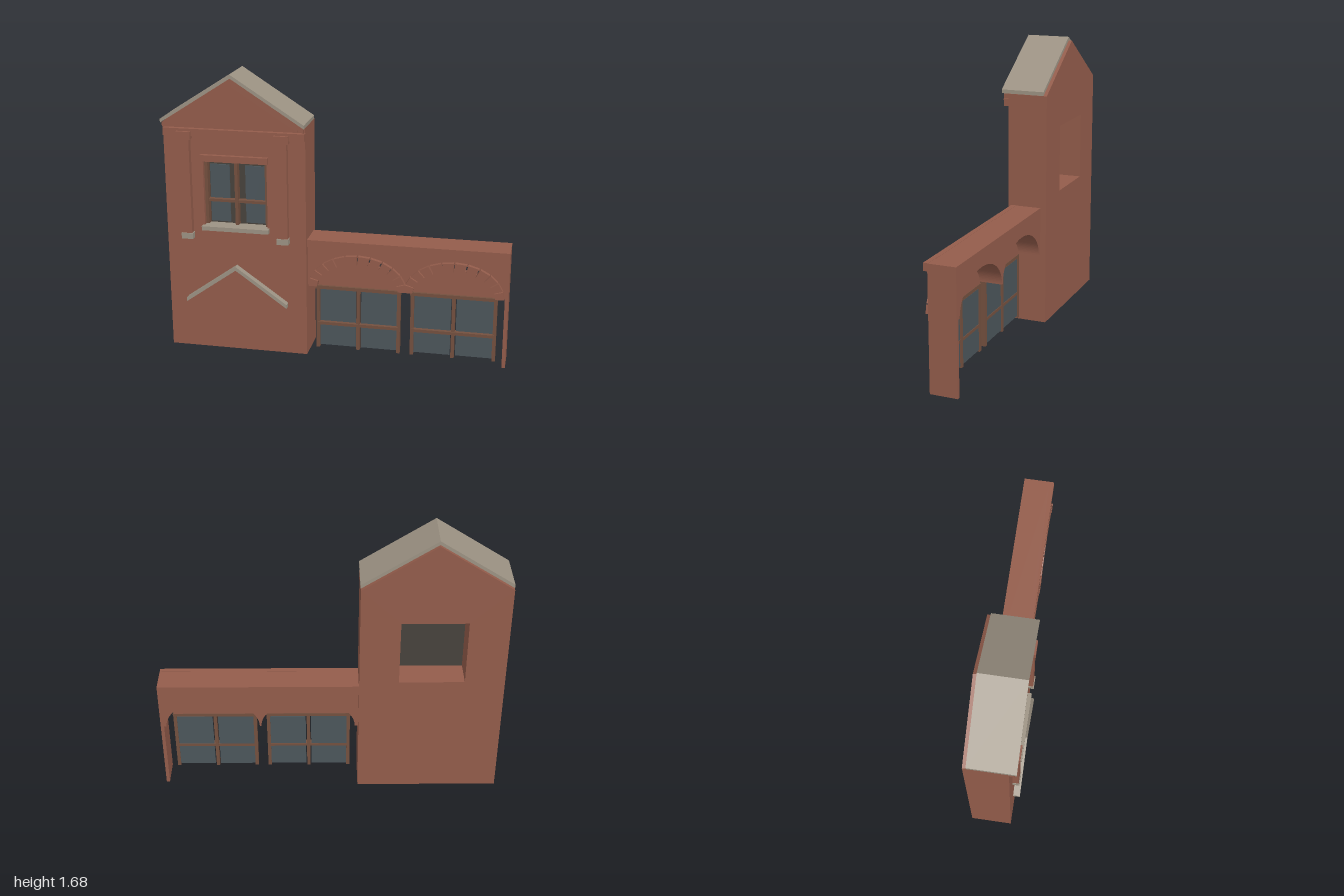
import * as THREE from 'three';

const mat = (name, color) => {
  const m = new THREE.MeshStandardMaterial({ color });
  m.name = name;
  return m;
};

export function createModel() {
  const model = new THREE.Group();
  model.name = 'facade';
  const brick = mat('brick red', 0x935c4b);
  const stone = mat('grey stone', 0x9c9283);
  const wood = mat('brown frame', 0x74503f);
  const glass = mat('blue grey glass', 0x4c565b);
  const dark = mat('dark interior', 0x47423c);

  const add = (name, geo, material) => {
    const mesh = new THREE.Mesh(geo, material);
    mesh.name = name;
    model.add(mesh);
    return mesh;
  };
  // box given by its limits on each axis
  const box = (name, material, x0, x1, y0, y1, z0, z1) => {
    const geo = new THREE.BoxGeometry(x1 - x0, y1 - y0, z1 - z0);
    geo.translate((x0 + x1) / 2, (y0 + y1) / 2, (z0 + z1) / 2);
    return add(name, geo, material);
  };
  const poly = (pts) => new THREE.Shape(pts.map(([x, y]) => new THREE.Vector2(x, y)));
  // front outline pushed from z0 to z1
  const slab = (name, material, shape, z0, z1) => {
    const geo = new THREE.ExtrudeGeometry(shape, { depth: z1 - z0, bevelEnabled: false, curveSegments: 32 });
    geo.translate(0, 0, z0);
    return add(name, geo, material);
  };

  // Tower body with a window opening through it
  const cx = -0.583, hw = 0.417;
  const tower = poly([[-1, 0], [-0.166, 0], [-0.166, 1.385], [cx, 1.655], [-1, 1.385]]);
  tower.holes.push(new THREE.Path([[-0.77, 0.77], [-0.77, 1.17], [-0.393, 1.17], [-0.393, 0.77]]
    .map(([x, y]) => new THREE.Vector2(x, y))));
  slab('towerBody', brick, tower, -0.14, 0.1);

  // Inverted V of given half width, top height, drop and thickness
  const chevron = (name, material, half, top, drop, t, z0, z1) => slab(name, material, poly([
    [cx - half, top - drop - t], [cx, top - t], [cx + half, top - drop - t],
    [cx + half, top - drop], [cx, top], [cx - half, top - drop]]), z0, z1);
  chevron('roof', stone, hw + 0.002, 1.677, 0.269, 0.022, -0.12, 0.14);
  chevron('rakeMoulding', brick, hw - 0.005, 1.655, 0.267, 0.03, 0.1, 0.13);
  chevron('innerRakeMoulding', brick, hw - 0.04, 1.625, 0.243, 0.022, 0.1, 0.117);
  chevron('stoneChevron', stone, 0.305, 0.54, 0.217, 0.024, 0.1, 0.14);

  // Entablature and pilasters
  box('entablature', brick, -0.993, -0.165, 1.312, 1.355, 0.09, 0.128);
  for (const s of [-1, 1]) {
    const x = cx + s * 0.286;
    box('pilaster', brick, x - 0.03, x + 0.03, 0.73, 1.3, 0.09, 0.135);
    box('pilasterCapital', brick, x - 0.042, x + 0.042, 1.295, 1.34, 0.09, 0.144);
    box('pilasterBase', stone, x - 0.034, x + 0.034, 0.695, 0.73, 0.09, 0.14);
  }

  // Tower window
  box('windowLintel', brick, -0.78, -0.382, 1.165, 1.203, 0.09, 0.125);
  box('windowSill', stone, -0.78, -0.382, 0.752, 0.777, 0.04, 0.135);
  box('windowBacking', dark, -0.77, -0.393, 0.77, 1.17, 0.025, 0.032);
  for (const s of [-1, 1]) {
    const x = cx + s * 0.105;
    box('windowPane', glass, x - 0.058, x + 0.058, 0.785, 1.13, 0.034, 0.042);
  }
  for (const x of [-0.761, cx, -0.402]) box('windowPost', wood, x - 0.009, x + 0.009, 0.775, 1.168, 0.032, 0.075);
  box('windowRail', wood, -0.765, -0.398, 0.912, 0.928, 0.034, 0.07);

  // Arcade wall, bitten by two elliptical vaults
  const springY = 0.43, centres = [0.13, 0.69];
  const wall = new THREE.Shape();
  wall.moveTo(-0.166, springY);
  for (const c of centres) {
    wall.lineTo(c - 0.275, springY);
    wall.absellipse(c, springY, 0.275, 0.188, Math.PI, 0, true);
  }
  wall.lineTo(0.98, springY);
  wall.lineTo(0.98, 0);
  wall.lineTo(1, 0);
  wall.lineTo(1, 0.715);
  wall.lineTo(-0.166, 0.715);
  slab('arcadeWall', brick, wall, -0.105, 0.056);
  box('arcadeCornice', brick, -0.166, 0.999, 0.672, 0.716, 0.05, 0.08);

  for (const c of centres) {
    // Arch infill
    const infill = new THREE.Shape();
    infill.moveTo(c - 0.245, springY - 0.005);
    infill.lineTo(c + 0.245, springY - 0.005);
    infill.absellipse(c, springY, 0.245, 0.15, 0, Math.PI, false);
    slab('archInfill', brick, infill, 0.015, 0.045);

    // Ring of separate arch stones
    const n = 12, gap = 0.014;
    const at = (a, rx, ry) => [c + rx * Math.cos(a), springY + ry * Math.sin(a)];
    for (let i = 0; i < n; i++) {
      const a = (i / n) * Math.PI + gap, b = ((i + 1) / n) * Math.PI - gap;
      slab('archStone', brick, poly([at(a, 0.238, 0.148), at(a, 0.288, 0.204),
        at(b, 0.288, 0.204), at(b, 0.238, 0.148)]), 0.045, 0.082);
    }

    // Glazed screen below the arch
    for (const d of [-0.24, 0, 0.24]) box('screenPost', wood, c + d - 0.01, c + d + 0.01, 0.03, 0.42, 0.012, 0.045);
    box('screenLintel', wood, c - 0.252, c + 0.252, 0.41, 0.43, 0.012, 0.06);
    box('screenRail', wood, c - 0.24, c + 0.24, 0.178, 0.196, 0.015, 0.05);
    for (const s of [-1, 1]) {
      const x = c + s * 0.124;
      box('screenPane', glass, x - 0.108, x + 0.108, 0.04, 0.404, 0.018, 0.027);
    }
  }
  return model;
}
